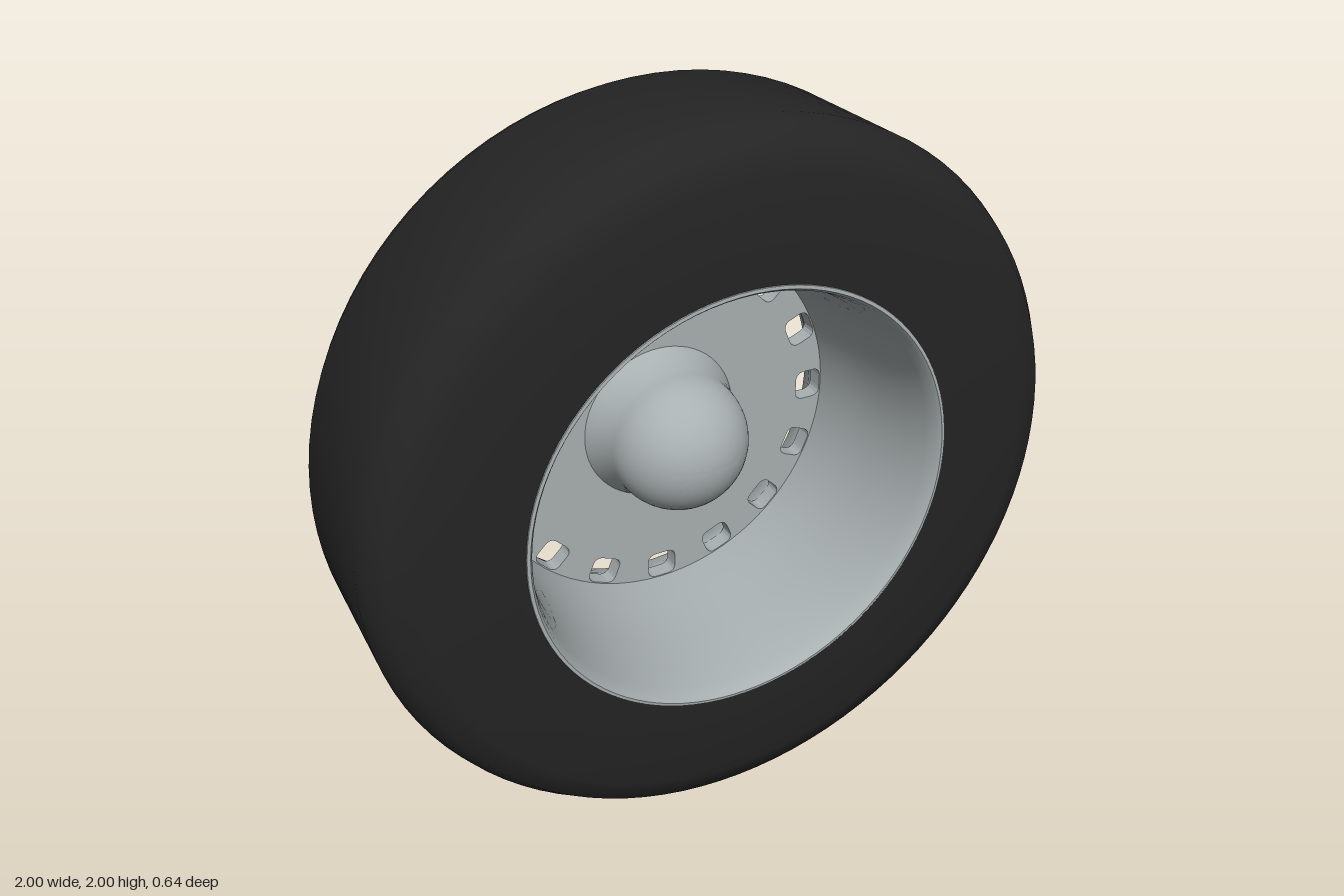
import * as THREE from 'three';
import { toCreasedNormals } from 'three/addons/utils/BufferGeometryUtils.js';

const rubber = new THREE.MeshStandardMaterial({ color: 0x242424 });
rubber.name = 'black rubber';
const metal = new THREE.MeshStandardMaterial({ color: 0xa9b0b1, side: THREE.DoubleSide });
metal.name = 'grey metal';

// Revolves [radius, z] points around the wheel axle
function revolve(name, profile, material, crease = 0.6, segments = 96) {
  const points = profile.map(([r, z]) => new THREE.Vector2(r, z));
  const geometry = new THREE.LatheGeometry(points, segments).rotateX(Math.PI / 2);
  const mesh = new THREE.Mesh(toCreasedNormals(geometry, crease), material);
  mesh.name = name;
  return mesh;
}

// Rounded ventilation slot, radial along its local x axis
function slotPath(angle) {
  const r = 0.497, a = 0.041, b = 0.045, c = 0.027;
  const p = (x, y) => [
    (r + x) * Math.cos(angle) - y * Math.sin(angle),
    (r + x) * Math.sin(angle) + y * Math.cos(angle),
  ];
  const path = new THREE.Path();
  path.moveTo(...p(-a, -b + c));
  path.quadraticCurveTo(...p(-a, -b), ...p(-a + c, -b));
  path.lineTo(...p(a - c, -b));
  path.quadraticCurveTo(...p(a, -b), ...p(a, -b + c));
  path.lineTo(...p(a, b - c));
  path.quadraticCurveTo(...p(a, b), ...p(a - c, b));
  path.lineTo(...p(-a + c, b));
  path.quadraticCurveTo(...p(-a, b), ...p(-a, b - c));
  path.closePath();
  return path;
}

export function createModel() {
  const wheel = new THREE.Group();
  wheel.name = 'wheel';

  // Tyre: flat sidewalls, rounded shoulders and a plain tread
  wheel.add(revolve('tyre', [
    [0.562, -0.315], [0.88, -0.315], [0.95, -0.29], [0.985, -0.24], [1, -0.2],
    [1, 0.2], [0.985, 0.24], [0.95, 0.29], [0.88, 0.315], [0.612, 0.315],
  ], rubber, 1));

  // Rim: rolled front lip, deep barrel and narrow rear lip
  wheel.add(revolve('rim', [
    [0.618, 0.308], [0.615, 0.318], [0.606, 0.319], [0.598, 0.308], [0.588, 0.27],
    [0.575, 0.2], [0.563, 0.08], [0.552, -0.08], [0.542, -0.2], [0.542, -0.265],
    [0.55, -0.28], [0.556, -0.31], [0.562, -0.317], [0.568, -0.312],
  ], metal, 0.9));

  // Wheel disc pierced by sixteen slots
  const disc = new THREE.Shape();
  disc.absarc(0, 0, 0.547, 0, Math.PI * 2);
  for (let i = 0; i < 16; i++) disc.holes.push(slotPath((i * Math.PI) / 8));
  const discGeometry = new THREE.ExtrudeGeometry(disc, {
    depth: 0.05, bevelEnabled: false, curveSegments: 40,
  }).translate(0, 0, -0.25);
  const discMesh = new THREE.Mesh(toCreasedNormals(discGeometry, 0.6), metal);
  discMesh.name = 'slottedDisc';
  wheel.add(discMesh);

  // Front hub: flared collar carrying a domed cap
  const dome = [[0.235, -0.2], [0.218, -0.165], [0.203, -0.12]];
  for (let i = 0; i <= 16; i++) {
    const t = (i / 16) * Math.PI / 2;
    dome.push([Math.max(0.2 * Math.cos(t), 0), -0.09 + 0.2 * Math.sin(t)]);
  }
  wheel.add(revolve('hubDome', dome, metal, 0.9, 64));

  // Rear hub: stepped rings around a dark bore
  wheel.add(revolve('rearHub', [
    [0.085, -0.25], [0.085, -0.28], [0.155, -0.28], [0.165, -0.27], [0.185, -0.27],
    [0.195, -0.287], [0.208, -0.292], [0.222, -0.287], [0.23, -0.272], [0.242, -0.268],
    [0.242, -0.25],
  ], metal, 0.7, 64));
  const bore = new THREE.Mesh(new THREE.CircleGeometry(0.088, 48), rubber);
  bore.name = 'hubBore';
  bore.rotation.y = Math.PI;
  bore.position.z = -0.276;
  wheel.add(bore);

  // Valve stem on the rear edge of the rim
  const valve = new THREE.Mesh(new THREE.CylinderGeometry(0.012, 0.016, 0.05, 12), rubber);
  valve.name = 'valveStem';
  const a = Math.PI / 8;
  valve.position.set(0.54 * Math.cos(a), 0.54 * Math.sin(a), -0.29);
  valve.rotation.z = a + Math.PI / 2;
  wheel.add(valve);

  wheel.position.y = 1;
  const model = new THREE.Group();
  model.name = 'wheelModel';
  model.add(wheel);
  return model;
}
